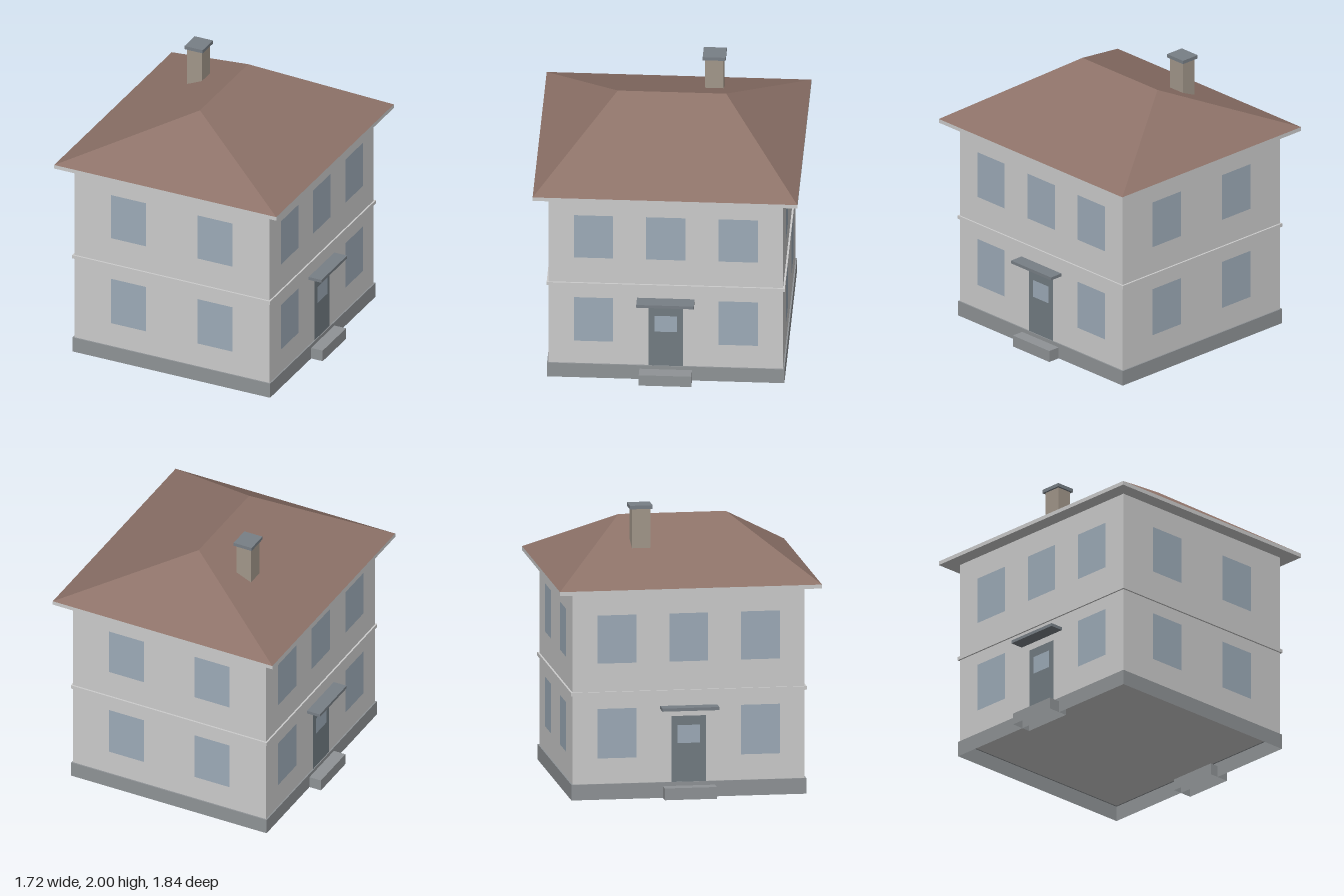
import * as THREE from 'three';

const mat = (color, side = THREE.FrontSide) =>
  new THREE.MeshStandardMaterial({ color, side, flatShading: true });

const wallMat = mat(0xcccccc);
const plinthMat = mat(0x8f9396, THREE.DoubleSide);
const roofMat = mat(0x8d7268);
const chimneyMat = mat(0xa2978a);
const slateMat = mat(0x787f86);
const doorMat = mat(0x727c82);
const glassMat = mat(0x9dabb8);

// Box given by its min/max corners
function box(name, material, [x0, y0, z0], [x1, y1, z1], openBottom = false) {
  const geo = new THREE.BoxGeometry(x1 - x0, y1 - y0, z1 - z0);
  if (openBottom) {
    // drop the -y face (4th group of six indices)
    const idx = Array.from(geo.index.array);
    idx.splice(18, 6);
    geo.setIndex(idx);
    geo.clearGroups();
  }
  const mesh = new THREE.Mesh(geo, material);
  mesh.name = name;
  mesh.position.set((x0 + x1) / 2, (y0 + y1) / 2, (z0 + z1) / 2);
  return mesh;
}

// Slab centred on x and z
const slab = (name, material, hx, hz, y0, y1) =>
  box(name, material, [-hx, y0, -hz], [hx, y1, hz]);

// Flat panel lying just in front of a wall that faces +z
function panel(name, material, u, y0, y1, width, depth) {
  const mesh = new THREE.Mesh(new THREE.PlaneGeometry(width, y1 - y0), material);
  mesh.name = name;
  mesh.position.set(u, (y0 + y1) / 2, depth);
  return mesh;
}

// Hipped roof: four corners at the eave, two ridge ends
function hipRoof(hx, hz, ridge, y0, y1) {
  const a = [-hx, y0, hz], b = [hx, y0, hz], c = [hx, y0, -hz], d = [-hx, y0, -hz];
  const f = [0, y1, ridge], g = [0, y1, -ridge];
  const tris = [a, b, f, c, d, g, b, c, g, b, g, f, d, a, f, d, f, g];
  const geo = new THREE.BufferGeometry();
  geo.setAttribute('position', new THREE.Float32BufferAttribute(tris.flat(), 3));
  geo.computeVertexNormals();
  const mesh = new THREE.Mesh(geo, roofMat);
  mesh.name = 'roof';
  return mesh;
}

// Hollow band round the foot of the walls, open underneath
function plinth(hx, hz, wx, wz, height) {
  const group = new THREE.Group();
  group.name = 'plinth';
  const rect = (C, x, y) => new C().moveTo(-x, -y).lineTo(x, -y).lineTo(x, y).lineTo(-x, y).closePath();
  const shape = rect(THREE.Shape, hx, hz);
  shape.holes.push(rect(THREE.Path, wx, wz));
  const ledge = new THREE.Mesh(new THREE.ShapeGeometry(shape), plinthMat);
  ledge.name = 'plinthLedge';
  ledge.rotation.x = -Math.PI / 2;
  ledge.position.y = height;
  group.add(ledge);
  for (let i = 0; i < 4; i++) {
    const [w, d] = i % 2 ? [hz, hx] : [hx, hz];
    const side = new THREE.Group();
    side.name = 'plinthSide';
    side.rotation.y = (i * Math.PI) / 2;
    side.add(panel('plinthFace', plinthMat, 0, 0, height, 2 * w, d));
    group.add(side);
  }
  return group;
}

export function createModel() {
  const house = new THREE.Group();
  house.name = 'house';
  const wx = 0.755, wz = 0.815;

  // Body, floor band, eaves and roof
  house.add(plinth(0.765, 0.825, wx, wz, 0.11));
  house.add(slab('walls', wallMat, wx, wz, 0.11, 1.47));
  house.add(slab('floorBand', wallMat, 0.767, 0.828, 0.735, 0.76));
  house.add(slab('eaves', wallMat, 0.86, 0.92, 1.465, 1.493));
  house.add(hipRoof(0.86, 0.92, 0.377, 1.493, 1.867));

  // Chimney
  house.add(box('chimney', chimneyMat, [-0.39, 1.6, -0.342], [-0.277, 1.975, -0.212]));
  house.add(box('chimneyCap', slateMat, [-0.404, 1.975, -0.358], [-0.263, 2, -0.198]));

  // Windows and doors, one facade at a time
  const floors = [[0.29, 0.64], [0.96, 1.3]];
  for (let i = 0; i < 4; i++) {
    const hasDoor = i % 2 === 1;
    const depth = hasDoor ? wx : wz;
    const facade = new THREE.Group();
    facade.name = hasDoor ? 'entranceFacade' : 'plainFacade';
    facade.rotation.y = (i * Math.PI) / 2;

    floors.forEach(([y0, y1], level) => {
      const columns = hasDoor ? (level ? [-0.503, 0, 0.503] : [-0.503, 0.503]) : [-0.335, 0.335];
      for (const u of columns) facade.add(panel('window', glassMat, u, y0, y1, 0.273, depth + 0.003));
    });

    if (hasDoor) {
      facade.add(panel('doorFrame', wallMat, 0, 0.08, 0.6, 0.29, depth + 0.002));
      facade.add(panel('door', doorMat, 0, 0.08, 0.575, 0.24, depth + 0.004));
      facade.add(panel('doorWindow', glassMat, 0, 0.383, 0.51, 0.156, depth + 0.006));
      facade.add(box('canopy', slateMat, [-0.2, 0.626, depth - 0.01], [0.2, 0.648, 0.855]));
      facade.add(box('doorStep', plinthMat, [-0.183, 0, 0.7], [0.183, 0.083, 0.855], true));
    }
    house.add(facade);
  }
  return house;
}
